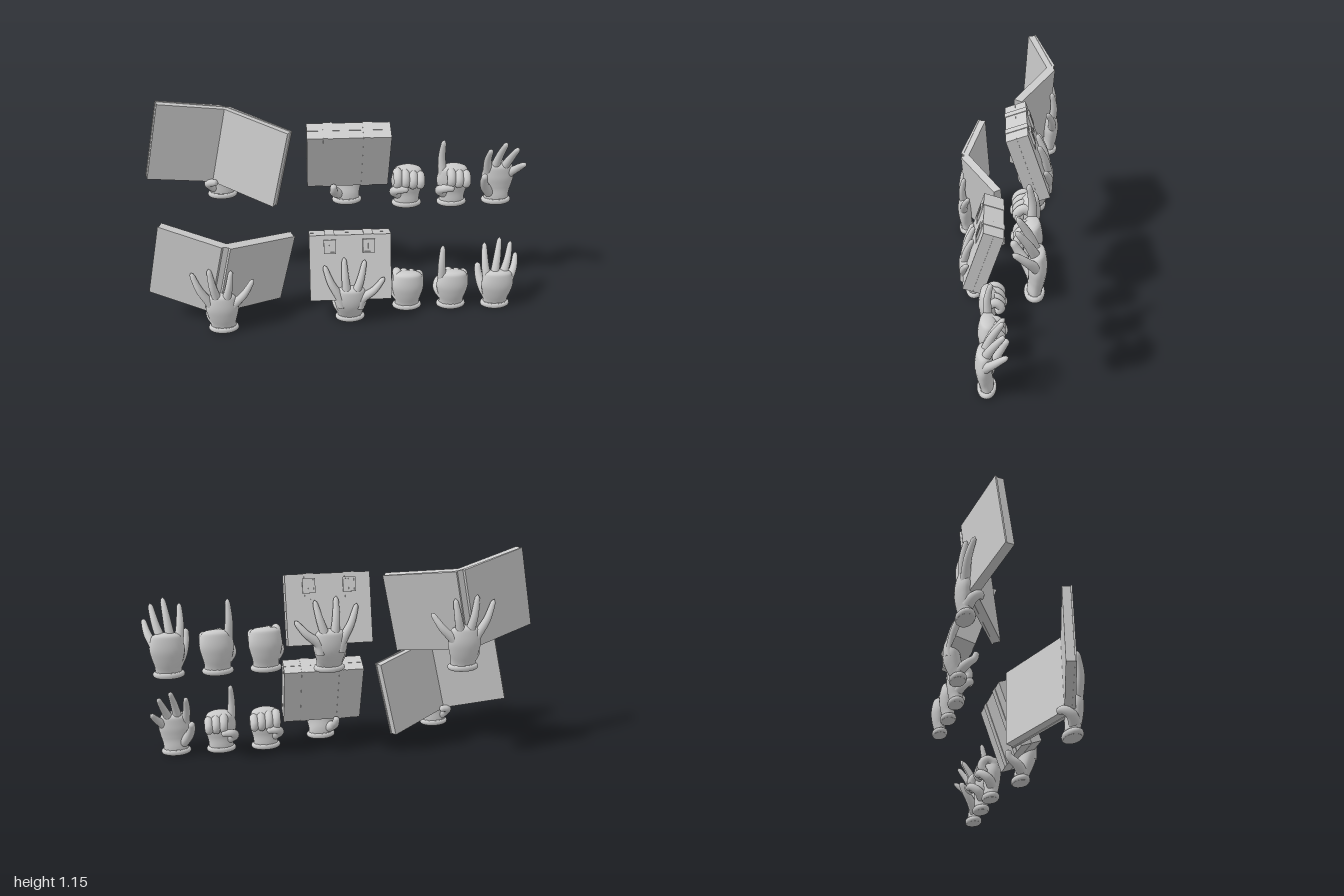
import * as THREE from 'three';
import { mergeVertices } from 'three/addons/utils/BufferGeometryUtils.js';

const material = new THREE.MeshStandardMaterial({ color: 0xcccccc, side: THREE.DoubleSide });
const V = (p) => new THREE.Vector3(...p);

function add(parent, name, geometry, pos = [0, 0, 0]) {
  const mesh = new THREE.Mesh(geometry, material);
  mesh.name = name;
  mesh.position.set(...pos);
  parent.add(mesh);
}

// Rounded limb: a tube whose radius follows a list of values, optionally flattened in z
function limb(points, radii, squash = 1, seg = 22, sides = 14) {
  const curve = new THREE.CatmullRomCurve3(points.map(V));
  const geo = new THREE.TubeGeometry(curve, seg, 1, sides);
  const rad = new THREE.CatmullRomCurve3(radii.map((r, i) => new THREE.Vector3(r, i, 0)));
  const pos = geo.attributes.position;
  const v = new THREE.Vector3();
  for (let i = 0; i <= seg; i++) {
    const t = i / seg;
    const c = curve.getPointAt(t);
    let r = rad.getPoint(t).x;
    if (t > 0.9) r *= Math.sqrt(Math.max(0, 1 - ((t - 0.9) / 0.1) ** 2));
    for (let j = 0; j <= sides; j++) {
      const k = i * (sides + 1) + j;
      v.fromBufferAttribute(pos, k).sub(c).multiplyScalar(r);
      pos.setXYZ(k, c.x + v.x, c.y + v.y, c.z + v.z * squash);
    }
  }
  geo.deleteAttribute('uv');
  geo.deleteAttribute('normal');
  const smooth = mergeVertices(geo, 1e-5);
  smooth.computeVertexNormals();
  return smooth;
}

const bases = [[-0.056, 0.17], [-0.02, 0.19], [0.022, 0.185], [0.057, 0.16]];
const names = ['indexFinger', 'middleFinger', 'ringFinger', 'littleFinger'];

// Glove with cuff, palm and thumb; lean shifts the top of the palm in z
function glove(parent, name, x, z, lean, thumb, height = 0.24, depth = 0.5) {
  const g = new THREE.Group();
  g.name = name;
  g.position.set(x, 0, z);
  parent.add(g);
  const cuff = new THREE.TorusGeometry(0.066, 0.015, 10, 36).rotateX(Math.PI / 2);
  add(g, 'cuff', cuff.scale(1, 1, 0.58), [0, 0.015, 0]);
  add(g, 'cuffBase', new THREE.CylinderGeometry(0.066, 0.068, 0.03, 36).scale(1, 1, 0.58), [0, 0.015, 0]);
  add(g, 'palm', limb([[0, 0.015, 0], [0, 0.035, 0], [0, 0.09, 0.006 + lean * 0.35],
    [0, 0.16, 0.006 + lean * 0.8], [0, height, lean]],
  [0.066, 0.068, 0.079, 0.087, 0.08, 0.066], depth, 28, 24));
  add(g, 'thumb', limb(thumb, [0.03, 0.026, 0.021, 0.016]));
  return g;
}

// Straight finger, slightly bowed, from its knuckle to the tip
function finger(g, i, tip, z) {
  const [x, y] = bases[i];
  const mid = [(x + tip[0]) / 2 + x * 0.12, (y + tip[1]) / 2, (z + tip[2]) / 2 + 0.012];
  add(g, names[i], limb([[x * 0.85, y - 0.05, z], [x, y, z], mid, tip], [0.024, 0.024, 0.021, 0.017, 0.012]));
}

// Finger folded into the palm
function curled(g, i, x) {
  const d = i * 0.007;
  add(g, names[i], limb([[x, 0.15, 0.006], [x, 0.197 - d, 0], [x, 0.213 - d, -0.032],
    [x, 0.185 - d, -0.062], [x, 0.15, -0.056], [x, 0.135, -0.03]], [0.023, 0.024, 0.024, 0.023, 0.022, 0.02]));
}

function extrude(points, depth) {
  const shape = new THREE.Shape(points.map(([a, b]) => new THREE.Vector2(a, b)));
  return new THREE.ExtrudeGeometry(shape, { depth, bevelEnabled: false });
}

// Open book: cross-sections of cover and pages drawn out along the spine
function openBook(parent) {
  const book = new THREE.Group();
  book.name = 'openBook';
  const across = new THREE.Vector3(0.978, -0.209, -0.012).normalize();
  const up = new THREE.Vector3(0.209, 0.976, 0.058).normalize();
  const out = across.clone().cross(up).normalize();
  book.quaternion.setFromRotationMatrix(new THREE.Matrix4().makeBasis(across, out, up.negate()));
  book.position.set(-0.57, 0.53, 0.27);
  parent.add(book);
  add(book, 'bookCover', extrude([[-0.354, -0.1], [-0.022, 0], [-0.014, -0.009], [0.014, -0.009], [0.022, 0],
    [0.356, -0.19], [0.352, -0.197], [0.016, -0.016], [-0.016, -0.016], [-0.352, -0.108]], 0.43));
  add(book, 'bookPages', extrude([[-0.348, -0.106], [-0.016, -0.015], [0.016, -0.015], [0.349, -0.194],
    [0.332, -0.23], [0, -0.046], [-0.339, -0.144]], 0.424), [0, 0, 0.003]);
}

function strappedCase(parent) {
  const box = new THREE.Group();
  box.name = 'strappedCase';
  box.position.set(0.065, 0.313, 0.131);
  box.rotation.x = -0.325;
  parent.add(box);
  const B = (name, w, h, d, x, y, z) => add(box, name, new THREE.BoxGeometry(w, h, d), [x, y, z]);
  B('caseCore', 0.424, 0.352, 0.1, 0, 0, 0);
  for (const s of [-1, 1]) B('caseHalf', 0.43, 0.356, 0.055, 0, 0, s * 0.0285);
  // Straps run up the back, over the top and down to the front buckles
  for (const x of [-0.107, 0.097]) {
    B('strapBack', 0.05, 0.358, 0.004, x, 0.001, -0.057);
    B('strapTop', 0.05, 0.004, 0.116, x, 0.179, 0);
    B('strapFront', 0.044, 0.13, 0.004, x, 0.116, 0.057);
    B('bucklePlate', 0.06, 0.07, 0.008, x, 0.118, 0.06);
    for (const s of [-1, 1]) {
      B('buckleSide', 0.008, 0.074, 0.012, x + s * 0.028, 0.118, 0.062);
      B('buckleBar', 0.064, 0.008, 0.012, x, 0.118 + s * 0.033, 0.062);
    }
    B('bucklePin', 0.007, 0.06, 0.004, x, 0.118, 0.065);
  }
}

function buildRow(caseShift) {
  const row = new THREE.Group();
  openBook(row);

  // Hand behind the book
  const a = glove(row, 'bookHand', -0.615, 0.247, 0.004,
    [[-0.04, 0.055, 0], [-0.066, 0.085, -0.02], [-0.062, 0.11, -0.052], [-0.015, 0.12, -0.068]]);
  [[-0.15, 0.365, -0.012], [-0.055, 0.4, 0.01], [0.06, 0.385, 0.008], [0.17, 0.305, -0.022]]
    .forEach((tip, i) => finger(a, i, tip, 0.014));

  // Case with the hand in front of it
  const held = new THREE.Group();
  held.position.z = caseShift;
  row.add(held);
  strappedCase(held);
  const b = glove(held, 'caseHand', 0.065, 0.185, 0.042,
    [[-0.04, 0.05, 0], [-0.07, 0.08, -0.035], [-0.075, 0.115, -0.076], [-0.078, 0.152, -0.085]]);
  [[-0.14, 0.355, 0.005], [-0.035, 0.395, -0.005], [0.075, 0.38, 0], [0.178, 0.285, 0.03]]
    .forEach((tip, i) => finger(b, i, tip, 0.052));

  // Closed fist
  const fistThumb = [[-0.045, 0.07, 0], [-0.073, 0.1, -0.03], [-0.06, 0.13, -0.068], [0.0, 0.135, -0.078]];
  const c = glove(row, 'fistHand', 0.385, 0.1, 0, fistThumb, 0.237, 0.56);
  [-0.058, -0.018, 0.024, 0.063].forEach((x, i) => curled(c, i, x));

  // Pointing hand
  const d = glove(row, 'pointingHand', 0.63, 0.1, 0, fistThumb, 0.237, 0.56);
  finger(d, 0, [-0.063, 0.39, -0.012], 0.002);
  [-0.018, 0.024, 0.063].forEach((x, i) => curled(d, i + 1, x));

  // Open hand
  const e = glove(row, 'openHand', 0.875, 0.108, 0.008,
    [[-0.04, 0.06, 0], [-0.072, 0.11, -0.03], [-0.09, 0.165, -0.068], [-0.094, 0.22, -0.1]]);
  [[-0.07, 0.36, -0.085], [0.01, 0.395, -0.08], [0.073, 0.365, -0.085], [0.113, 0.28, -0.1]]
    .forEach((tip, i) => finger(e, i, tip, 0.01));
  return row;
}

// Copy mirrored across z, with the face winding turned round to match
function mirrorRow(row) {
  const copy = new THREE.Group();
  row.updateMatrixWorld(true);
  row.traverse((o) => {
    if (!o.isMesh) return;
    const geo = o.geometry.clone().applyMatrix4(o.matrixWorld).scale(1, 1, -1);
    if (!geo.index) geo.setIndex([...Array(geo.attributes.position.count).keys()]);
    const ix = geo.index;
    for (let i = 0; i < ix.count; i += 3) {
      const t = ix.getX(i + 1);
      ix.setX(i + 1, ix.getX(i + 2));
      ix.setX(i + 2, t);
    }
    add(copy, o.name, geo);
  });
  return copy;
}

export function createModel() {
  const model = new THREE.Group();
  const lower = buildRow(0);
  lower.name = 'lowerRow';
  const upper = mirrorRow(buildRow(-0.034));
  upper.name = 'upperRow';
  upper.position.y = 0.54;
  model.add(lower, upper);
  return model;
}
